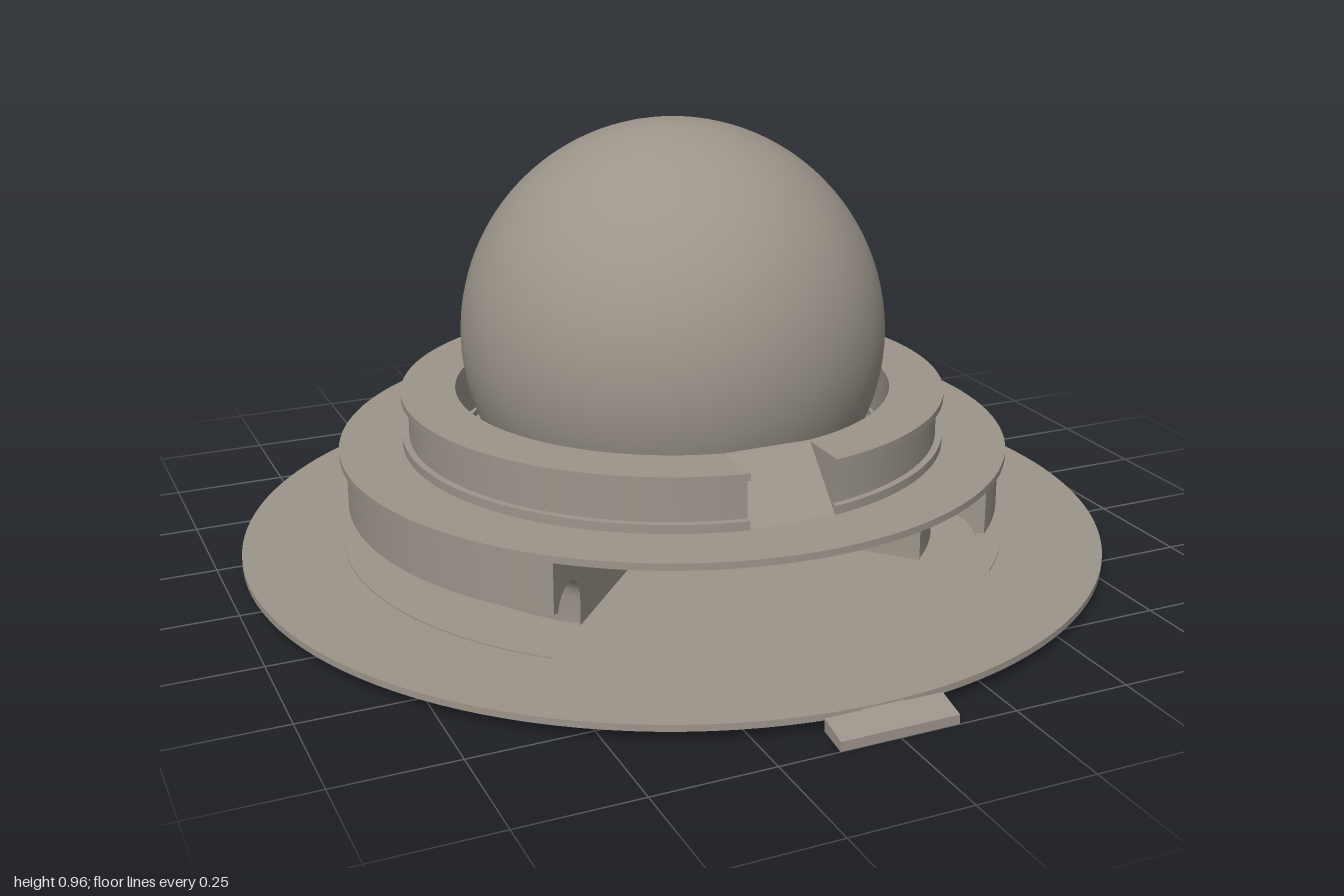
import * as THREE from 'three';
import { toCreasedNormals } from 'three/addons/utils/BufferGeometryUtils.js';

const CZ = -0.033; // centre of the round parts
const OPEN = THREE.MathUtils.degToRad(42); // half angle of the front opening

export function createModel() {
  const model = new THREE.Group();
  const body = new THREE.Group();
  body.name = 'roundBody';
  body.position.z = CZ;
  model.add(body);

  const stone = new THREE.MeshStandardMaterial({ color: 0x9c958b, side: THREE.DoubleSide });
  stone.name = 'warmGrey';

  const add = (name, geometry, parent = body) => {
    const mesh = new THREE.Mesh(geometry, stone);
    mesh.name = name;
    parent.add(mesh);
    return mesh;
  };
  const crease = (g) => toCreasedNormals(g, 0.5);
  const vectors = (pts) => pts.map(([x, y]) => new THREE.Vector2(x, y));

  // Closed profile of [radius, height], revolved
  const revolve = (pts, start = 0, length = Math.PI * 2) =>
    crease(new THREE.LatheGeometry(vectors([...pts, pts[0]]), 128, start, length));
  const ringProfile = (inner, outer, y0, y1) => [[inner, y0], [outer, y0], [outer, y1], [inner, y1]];

  // Profile in z and y, extruded across x
  const acrossX = (pts, width) => {
    const shape = new THREE.Shape(vectors(pts.map(([z, y]) => [-z, y])));
    const g = new THREE.ExtrudeGeometry(shape, { depth: width, bevelEnabled: false });
    return g.translate(0, 0, -width / 2).rotateY(Math.PI / 2);
  };

  // Base plate
  const plate = new THREE.CylinderGeometry(0.967, 0.967, 0.014, 128);
  add('basePlate', plate.translate(0, 0.032, 0));
  const underside = new THREE.CylinderGeometry(0.27, 0.27, 0.006, 64);
  add('undersideDisc', underside.translate(0, 0.023, 0));
  add('plateStep', revolve(ringProfile(0.55, 0.745, 0.038, 0.042), OPEN, 2 * (Math.PI - OPEN)));

  // Lower ring: socket, arched groove underneath and outer skirt, open at the front
  const arch = [];
  for (let i = 0; i <= 10; i++) {
    const a = Math.PI * (1 - i / 10);
    arch.push([0.652 + 0.062 * Math.cos(a), 0.1 + 0.06 * Math.sin(a)]);
  }
  const lower = [
    [0.27, 0.038], [0.59, 0.038], ...arch.slice(0, -1), [0.714, 0.125],
    [0.73, 0.125], [0.73, 0.242], [0.456, 0.242], [0.366, 0.12], [0.3, 0.06],
  ];
  add('lowerRing', revolve(lower, OPEN, 2 * (Math.PI - OPEN)));
  for (const side of [1, -1]) {
    const end = new THREE.Group();
    end.name = side > 0 ? 'leftOpeningWall' : 'rightOpeningWall';
    end.scale.x = side;
    body.add(end);
    const wall = new THREE.ShapeGeometry(new THREE.Shape(vectors(lower)));
    add('openingWall', wall.rotateY(OPEN - Math.PI / 2), end);
  }

  // Wide middle flange
  add('middleFlange', revolve(ringProfile(0.475, 0.745, 0.241, 0.256)));

  // Upper ring in three layers, with a straight notch at the front
  const notch = 0.095;
  const upperLayer = (name, outer, y0, y1) => {
    const inner = 0.485;
    const a = Math.asin(notch / outer);
    const b = Math.asin(notch / inner);
    const shape = new THREE.Shape();
    shape.absarc(0, 0, outer, -Math.PI / 2 + a, Math.PI * 1.5 - a, false);
    shape.absarc(0, 0, inner, Math.PI * 1.5 - b, -Math.PI / 2 + b, true);
    shape.closePath();
    const g = new THREE.ExtrudeGeometry(shape, { depth: y1 - y0, bevelEnabled: false, curveSegments: 96 });
    add(name, crease(g.rotateX(-Math.PI / 2).translate(0, y0, 0)));
  };
  upperLayer('upperRingFoot', 0.605, 0.256, 0.275);
  upperLayer('upperRingWall', 0.59, 0.275, 0.36);
  upperLayer('upperRingRim', 0.605, 0.36, 0.375);

  // Ramp that fills the notch
  add('notchRamp', acrossX([[0.475, 0.256], [0.595, 0.256], [0.483, 0.375], [0.475, 0.375]], notch * 2));

  // Ball resting in the socket
  const ball = new THREE.SphereGeometry(0.47, 96, 64);
  add('ball', ball.translate(0, 0.495, 0.004));

  // Small arched peg in the opening
  const pegShape = new THREE.Shape();
  pegShape.moveTo(-0.03, 0.038);
  pegShape.lineTo(0.03, 0.038);
  pegShape.lineTo(0.03, 0.085);
  pegShape.absarc(0, 0.085, 0.03, 0, Math.PI, false);
  pegShape.closePath();
  const peg = new THREE.ExtrudeGeometry(pegShape, { depth: 0.08, bevelEnabled: false });
  add('peg', crease(peg.translate(0, 0, 0.21)));

  // Front tab and its neck
  add('frontTab', acrossX(
    [[0.938, 0.01], [1, 0], [1, 0.02], [0.938, 0.036]], 0.25), model);
  add('tabNeck', acrossX(
    [[0.9, 0.026], [0.94, 0.02], [0.94, 0.035], [0.9, 0.038]], 0.09), model);

  return model;
}
